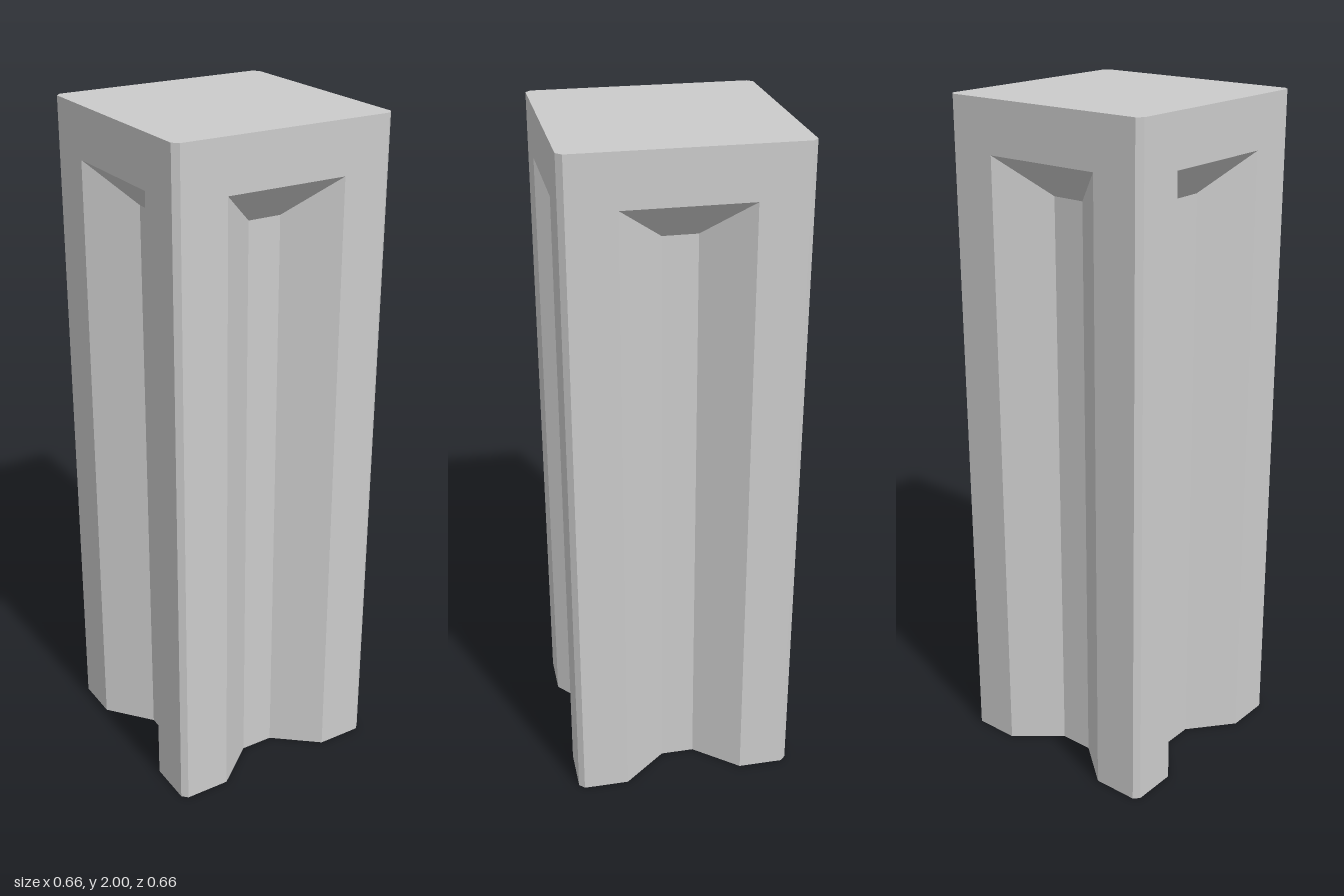
import * as THREE from 'three';

const HALF = 0.332, CHAMFER = 0.016, DEPTH = 0.107, HEIGHT = 2;
const GROOVE_TOP = 1.85, FLOOR_TOP = 1.74, GROOVE_HALF = 0.18, FLOOR_HALF = 0.05;

// One closed ring: the same side outline turned four times about y.
function ring(depth, edgeY, floorY) {
  const e = HALF - CHAMFER;
  const side = [
    [-e, edgeY, HALF],
    [-GROOVE_HALF, edgeY, HALF],
    [-FLOOR_HALF, floorY, HALF - depth],
    [FLOOR_HALF, floorY, HALF - depth],
    [GROOVE_HALF, edgeY, HALF],
    [e, edgeY, HALF],
  ];
  const points = [];
  const up = new THREE.Vector3(0, 1, 0);
  for (let k = 0; k < 4; k++) {
    for (const p of side) {
      points.push(new THREE.Vector3(...p).applyAxisAngle(up, k * Math.PI / 2));
    }
  }
  return points;
}

export function createModel() {
  const positions = [];
  const triangle = (a, b, c) => {
    const area = b.clone().sub(a).cross(c.clone().sub(a)).length();
    if (area > 1e-7) for (const p of [a, b, c]) positions.push(p.x, p.y, p.z);
  };

  // Grooved shaft, sloping groove ends, then the plain head
  const rings = [
    ring(DEPTH, 0, 0),
    ring(DEPTH, GROOVE_TOP, FLOOR_TOP),
    ring(0, GROOVE_TOP, GROOVE_TOP),
    ring(0, HEIGHT, HEIGHT),
  ];
  const n = rings[0].length;
  for (let j = 0; j < rings.length - 1; j++) {
    for (let i = 0; i < n; i++) {
      const k = (i + 1) % n;
      triangle(rings[j][i], rings[j][k], rings[j + 1][k]);
      triangle(rings[j][i], rings[j + 1][k], rings[j + 1][i]);
    }
  }

  // Flat top; the bottom stays open
  const top = rings[rings.length - 1];
  const centre = new THREE.Vector3(0, HEIGHT, 0);
  for (let i = 0; i < n; i++) triangle(centre, top[i], top[(i + 1) % n]);

  const geometry = new THREE.BufferGeometry();
  geometry.setAttribute('position', new THREE.Float32BufferAttribute(positions, 3));
  geometry.computeVertexNormals();

  const pillar = new THREE.Mesh(geometry, new THREE.MeshStandardMaterial({
    color: 0xcccccc, flatShading: true, side: THREE.DoubleSide,
  }));
  pillar.name = 'groovedPillar';

  const group = new THREE.Group();
  group.name = 'pillar';
  group.add(pillar);
  return group;
}
